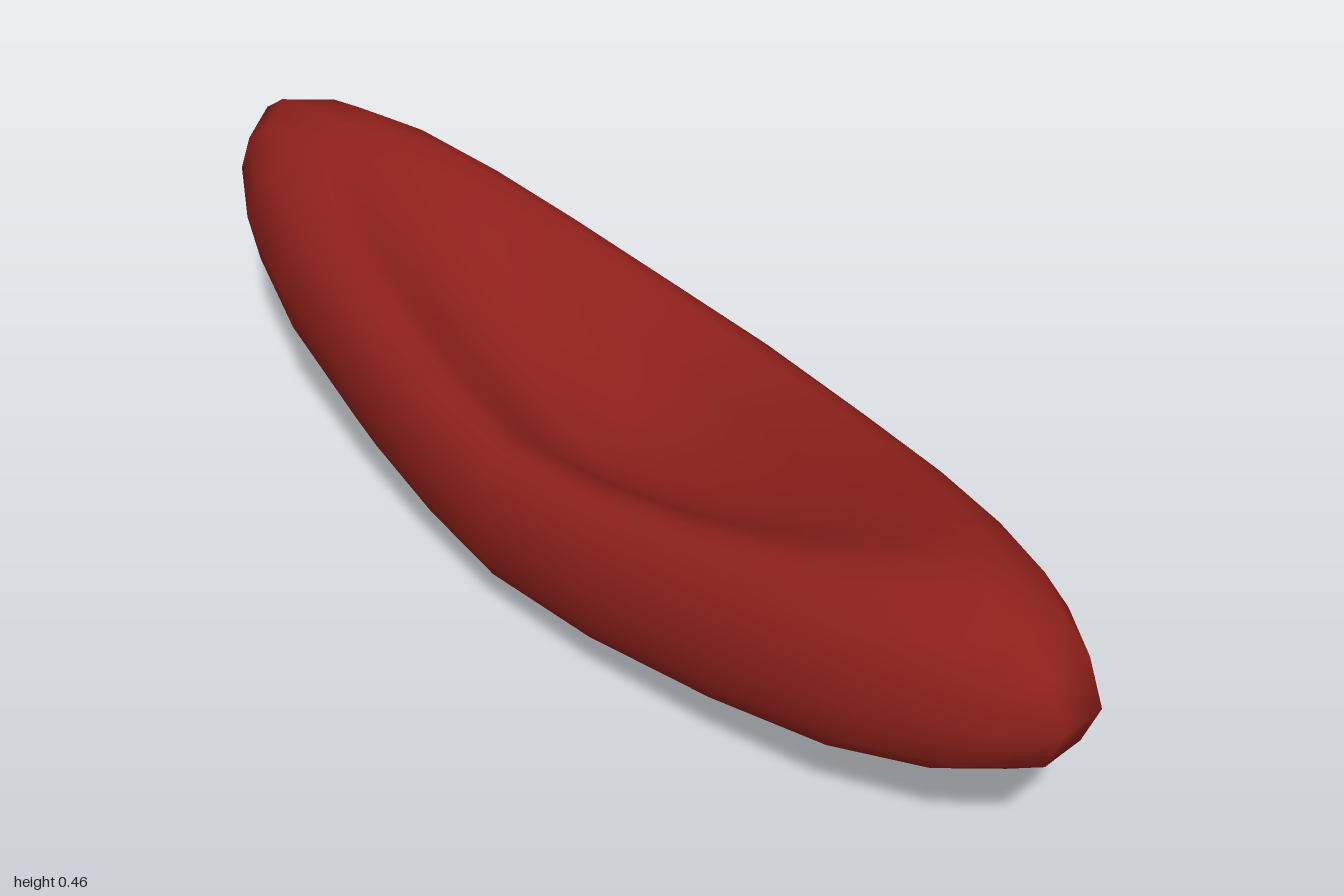
import * as THREE from 'three';

// Plan outline [x, z], from the right side round the front, left and back
const OUTLINE = [
  [-0.30, 0], [-0.29, 0.25], [-0.26, 0.52], [-0.22, 0.75], [-0.155, 0.91], [-0.08, 0.995],
  [0, 0.985], [0.08, 0.87], [0.15, 0.71], [0.21, 0.52], [0.26, 0.29], [0.30, 0],
  [0.28, -0.25], [0.245, -0.48], [0.2, -0.67], [0.14, -0.84], [0.065, -0.955], [-0.02, -1],
  [-0.095, -0.945], [-0.16, -0.83], [-0.215, -0.65], [-0.26, -0.4], [-0.285, -0.2],
];

// Section from the keel, over the rim, to the floor: [outline scale, height amidships, height at the tips]
const SECTION = [
  [0.18, 0.01, 0.02], [0.35, 0.02, 0.04], [0.6, 0.035, 0.1], [0.8, 0.06, 0.16], [0.9, 0.09, 0.2],
  [0.97, 0.135, 0.255], [1, 0.2, 0.33], [0.97, 0.25, 0.4], [0.92, 0.285, 0.435],
  [0.83, 0.307, 0.458], [0.75, 0.31, 0.46], [0.65, 0.298, 0.43], [0.5, 0.26, 0.355],
  [0.35, 0.228, 0.285], [0.2, 0.214, 0.237],
];

// Closed skin: scaled rings of the outline, curving up towards both tips
function hullGeometry() {
  const n = OUTLINE.length;
  const positions = [];
  const index = [];
  for (const [scale, yMiddle, yTip] of SECTION) {
    for (const [x, z] of OUTLINE) {
      const rise = Math.pow(Math.abs(z), 1.5);
      positions.push(x * scale, yMiddle + (yTip - yMiddle) * rise, z * scale - 0.03 * (1 - scale));
    }
  }
  const keel = SECTION.length * n;
  const floor = keel + 1;
  positions.push(0, 0, -0.03, 0, 0.21, -0.03);

  const last = (SECTION.length - 1) * n;
  for (let j = 0; j < n; j++) {
    const k = (j + 1) % n;
    for (let i = 0; i < last; i += n) {
      index.push(i + j, i + k, i + n + k, i + j, i + n + k, i + n + j);
    }
    index.push(keel, k, j, floor, last + j, last + k);
  }
  const geometry = new THREE.BufferGeometry();
  geometry.setAttribute('position', new THREE.Float32BufferAttribute(positions, 3));
  geometry.setIndex(index);
  geometry.computeVertexNormals();
  return geometry;
}

export function createModel() {
  const group = new THREE.Group();
  group.name = 'curvedDish';
  const body = new THREE.Mesh(hullGeometry(), new THREE.MeshStandardMaterial({ color: 0x8e201b }));
  body.name = 'dishBody';
  group.add(body);
  return group;
}
